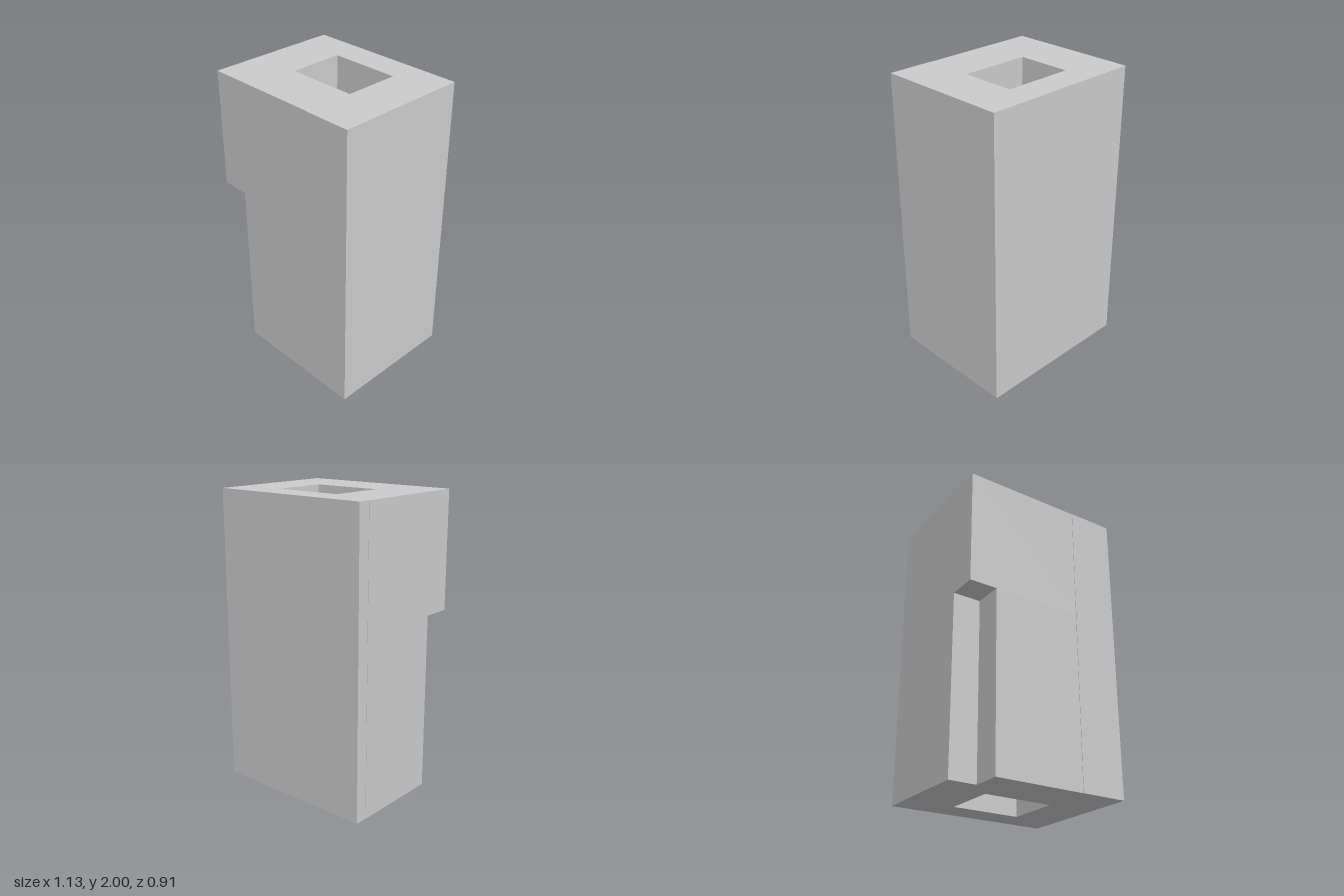
import * as THREE from 'three';

const HEIGHT = 2, NOTCH_TOP = 1.203, NOTCH_X = -0.375, NOTCH_Z = 0.255;

// Plan outlines as [x, z] corners; the sides carry very shallow steps
const back = [[-0.565, -0.37], [-0.563, -0.37], [-0.563, -0.455], [0.565, -0.455]];
const front = [[0.565, 0.455], [0.25, 0.455], [0.25, 0.452]];
const fullPlan = [...back, ...front, [-0.565, 0.452]];
const notchedPlan = [...back, ...front, [NOTCH_X, 0.452], [NOTCH_X, NOTCH_Z], [-0.565, NOTCH_Z]];
const ledgePlan = [[-0.565, NOTCH_Z], [NOTCH_X, NOTCH_Z], [NOTCH_X, 0.452], [-0.565, 0.452]];
// The shaft runs the opposite way round, so that its walls face inwards
const shaftPlan = [[-0.23, -0.255], [-0.23, 0.117], [0.25, 0.117], [0.25, -0.255]];

// zSign -1 makes a shape to be laid facing up, +1 one facing down
function planShape(plan, zSign, hole) {
  const points = (p) => p.map(([x, z]) => new THREE.Vector2(x, zSign * z));
  const shape = new THREE.Shape(points(plan));
  if (hole) shape.holes.push(new THREE.Path(points(hole)));
  return shape;
}

// Outer and shaft walls between two heights, without end caps
function walls(plan, y0, y1) {
  const solid = new THREE.ExtrudeGeometry(planShape(plan, -1, shaftPlan), { depth: y1 - y0, bevelEnabled: false });
  const { start, count } = solid.groups[1];
  const geometry = new THREE.BufferGeometry();
  const corners = solid.attributes.position.array.slice(start * 3, (start + count) * 3);
  geometry.setAttribute('position', new THREE.BufferAttribute(corners, 3));
  geometry.rotateX(-Math.PI / 2).translate(0, y0, 0);
  geometry.computeVertexNormals();
  return geometry;
}

// Flat horizontal face
function cap(plan, y, facing, hole) {
  const geometry = new THREE.ShapeGeometry(planShape(plan, -facing, hole));
  return geometry.rotateX(-facing * Math.PI / 2).translate(0, y, 0);
}

export function createModel() {
  const group = new THREE.Group();
  group.name = 'hollowBlock';
  const material = new THREE.MeshStandardMaterial({ color: 0xcccccc, flatShading: true });
  const add = (name, geometry) => {
    const mesh = new THREE.Mesh(geometry, material);
    mesh.name = name;
    group.add(mesh);
  };

  add('lowerWalls', walls(notchedPlan, 0, NOTCH_TOP));
  add('upperWalls', walls(fullPlan, NOTCH_TOP, HEIGHT));
  add('topFace', cap(fullPlan, HEIGHT, 1, shaftPlan));
  add('bottomFace', cap(notchedPlan, 0, -1, shaftPlan));
  add('notchCeiling', cap(ledgePlan, NOTCH_TOP, -1));
  return group;
}
